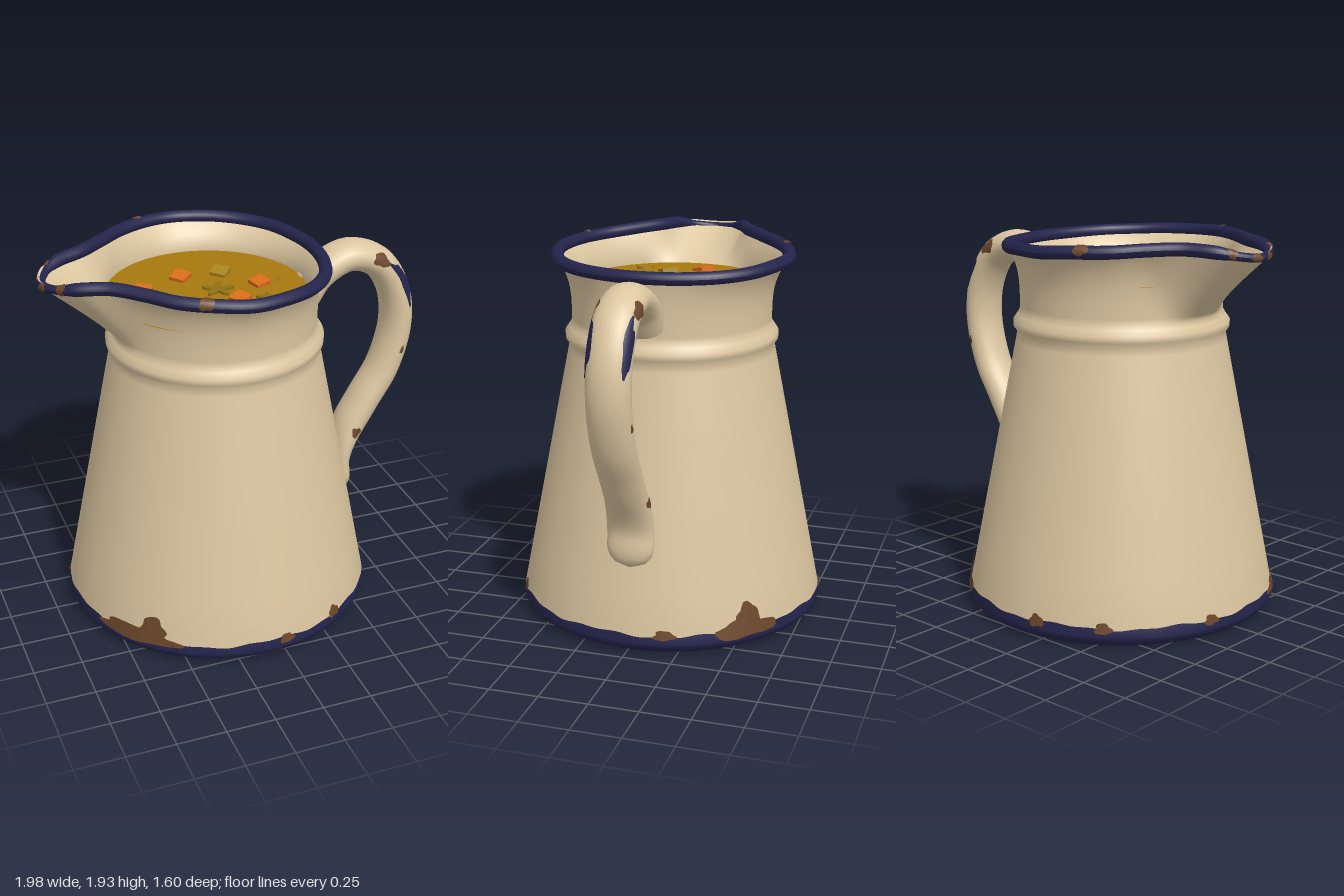
import * as THREE from 'three';

const mat = (name, color, side = THREE.FrontSide) => {
  const m = new THREE.MeshStandardMaterial({ color, side });
  m.name = name;
  return m;
};
const CX = -0.1; // axis of the body
const V = (x, y, z) => new THREE.Vector3(x, y, z);
const smooth = THREE.MathUtils.smoothstep, mix = THREE.MathUtils.lerp;

// Surface from fn(u, v); v always wraps round
function loft(nu, nv, fn) {
  const pos = [], idx = [];
  for (let i = 0; i <= nu; i++)
    for (let j = 0; j < nv; j++) pos.push(...fn(i / nu, j / nv).toArray());
  for (let i = 0; i < nu; i++)
    for (let j = 0; j < nv; j++) {
      const k = (j + 1) % nv, a = i * nv + j, b = a + nv, c = (i + 1) * nv + k, d = i * nv + k;
      idx.push(a, b, c, a, c, d);
    }
  const g = new THREE.BufferGeometry();
  g.setAttribute('position', new THREE.Float32BufferAttribute(pos, 3));
  g.setIndex(idx);
  g.computeVertexNormals();
  return g;
}

// Rim centre line: half outline, mirrored in z
const half = [
  [0.43, 1.85, 0], [0.41, 1.85, 0.17], [0.34, 1.853, 0.35], [0.22, 1.857, 0.48], [0.07, 1.865, 0.56],
  [-0.12, 1.87, 0.6], [-0.29, 1.88, 0.56], [-0.44, 1.885, 0.48], [-0.57, 1.895, 0.36], [-0.7, 1.9, 0.25],
  [-0.85, 1.89, 0.18], [-0.93, 1.87, 0.1], [-0.965, 1.86, 0],
];
const rimCurve = new THREE.CatmullRomCurve3(
  [...half, ...half.slice(1, -1).reverse().map(([x, y, z]) => [x, y, -z])].map((p) => V(...p)), true);

function rimAt(v) {
  const p = rimCurve.getPoint(v), t = rimCurve.getTangent(v);
  const angle = Math.atan2(p.z, p.x - CX);
  return {
    p, angle, out: V(t.z, 0, -t.x).normalize(),
    spout: smooth(-Math.cos(angle), 0.78, 0.97),
    tip: 1 - smooth(p.x, -0.93, -0.84),
  };
}
function rimSurface(phi, v, off = 0) {
  const { p, out, tip } = rimAt(((v % 1) + 1) % 1), r = 0.033 * (1 - 0.35 * tip) + off;
  return p.clone().addScaledVector(out, r * Math.cos(phi)).add(V(0, r * Math.sin(phi), 0));
}

// Conical body with rounded foot
const bodyR = (y) => (y > 0.06 ? 0.797 - 0.197 * (y - 0.06) : 0.797 - 0.04 * ((0.06 - y) / 0.06) ** 2);
const bodySurface = (y, a, off = 0) =>
  V(CX + (bodyR(y) + off) * Math.cos(a), y, (bodyR(y) + off) * Math.sin(a));

// Handle: swept ellipse ending in a rounded tab
const handleCurve = new THREE.CatmullRomCurve3([
  [0.38, 1.6], [0.46, 1.71], [0.62, 1.785], [0.78, 1.73], [0.88, 1.58], [0.91, 1.38], [0.85, 1.13],
  [0.74, 0.94], [0.64, 0.76], [0.6, 0.62], [0.608, 0.52], [0.62, 0.43],
].map(([x, y]) => V(x, y, 0)));
function handleSurface(u, phi, off = 0) {
  u = Math.min(Math.max(u, 0), 1);
  const c = handleCurve.getPointAt(u), t = handleCurve.getTangentAt(u);
  const cap = Math.sqrt(Math.max(0, 1 - Math.max(0, (u - 0.94) / 0.06) ** 2));
  const low = smooth(u, 0.76, 0.9);
  const a = mix(0.082, 0.056, low) * cap + off, b = mix(0.11, 0.122, low) * cap + off;
  return c.add(V(t.y * a * Math.cos(phi), -t.x * a * Math.cos(phi), b * Math.sin(phi)));
}
function handleU(x, y) {
  let best = 0, dist = 9;
  for (let i = 0; i <= 200; i++) {
    const d = handleCurve.getPointAt(i / 200).distanceTo(V(x, y, 0));
    if (d < dist) { dist = d; best = i / 200; }
  }
  return best;
}

// Ragged thin flake lying on a surface
const chip = (surface, cu, cv, ru, rv, off) => loft(5, 22, (r, w) => {
  const a = w * Math.PI * 2;
  const k = Math.max(r, 0.001) * (1 + 0.14 * Math.sin(3 * a + cu * 9) + 0.1 * Math.sin(5 * a + cv * 7));
  return surface(cu + ru * k * Math.cos(a), cv + rv * k * Math.sin(a), off);
});

export function createModel() {
  const model = new THREE.Group();
  model.name = 'enamelJug';
  const cream = mat('creamEnamel', 0xdcc6a0), blue = mat('blueEnamel', 0x24244c);
  const rust = mat('rustBrown', 0x6b462a), soup = mat('ochreSoup', 0xa87810);
  const orange = mat('carrotOrange', 0xd96c1a), pale = mat('paleVegetable', 0xa8841e);
  const herb = mat('herbOlive', 0x8f7014);
  const add = (name, geo, m, parent = model) => {
    const mesh = new THREE.Mesh(geo, m);
    mesh.name = name;
    parent.add(mesh);
    return mesh;
  };
  const group = (name) => {
    const g = new THREE.Group();
    g.name = name;
    model.add(g);
    return g;
  };

  // Outer wall: cone, raised rib, then a neck flaring into the spout
  const rows = [0.03, 0.06, 0.3, 0.7, 1.1, 1.38].map((y) => [y, bodyR(y)])
    .concat([[1.42, 0.53], [1.445, 0.549], [1.475, 0.55], [1.505, 0.529], [1.53, 0.515]]);
  const neckSteps = 14, last = rows.length - 1, total = last + neckSteps;
  add('outerWall', loft(total, 120, (u, v) => {
    const i = Math.round(u * total), { p, angle, spout } = rimAt(v);
    const [y, r] = rows[Math.min(i, last)];
    const q = V(CX + r * Math.cos(angle), y, r * Math.sin(angle));
    if (i <= last) return q;
    const t = (i - last) / neckSteps, e = t ** mix(3.4, 1.1, spout);
    return V(mix(q.x, p.x, e), mix(y, p.y - 0.015, t), mix(q.z, p.z, e));
  }), cream);

  // Inner wall and pouring lip
  add('innerWall', loft(10, 120, (t, v) => {
    const { p, angle, out, spout, tip } = rimAt(v);
    const top = p.clone().addScaledVector(out, 0.018 * tip).add(V(0, 0.026 * tip, 0));
    const e = mix(1 - (1 - t) ** 2, t, spout);
    return V(mix(top.x, -0.14 + 0.5 * Math.cos(angle), e), mix(top.y, 1.7, t),
      mix(top.z, 0.5 * Math.sin(angle), e));
  }), cream);

  add('rim', loft(12, 160, (u, v) => rimSurface(u * Math.PI * 2, v)), blue);

  // Foot band with an uneven painted edge, and underside
  const foot = [[0.72, 0], [0.755, 0.003], [0.78, 0.02], [0.795, 0.04], [0.801, 0.06]];
  add('footBand', loft(5, 140, (u, v) => {
    const i = Math.round(u * 5), a = v * Math.PI * 2;
    if (i === 5) return bodySurface(0.1 + 0.006 * Math.sin(9 * a) + 0.004 * Math.sin(23 * a), a, 0.004);
    return V(CX + foot[i][0] * Math.cos(a), foot[i][1], foot[i][0] * Math.sin(a));
  }), blue);
  const base = add('underside', new THREE.CircleGeometry(0.73, 64).rotateX(Math.PI / 2), cream);
  base.position.set(CX, 0.001, 0);

  add('handle', loft(70, 24, (u, v) => handleSurface(u, v * Math.PI * 2)), cream);

  // Rust around the foot: angle in degrees, height, half height, half width in degrees
  const footRust = group('footRust');
  [[141, 0.105, 0.04, 17], [134, 0.16, 0.06, 5], [-45, 0.105, 0.045, 13], [-46, 0.165, 0.065, 5],
    [83, 0.095, 0.025, 2.8], [60, 0.115, 0.032, 2.8], [-14, 0.105, 0.025, 4], [-100, 0.1, 0.03, 3],
    [-125, 0.1, 0.028, 3], [195, 0.1, 0.025, 3]].forEach(([a, y, h, w]) => {
    const rad = Math.PI / 180;
    add('rustPatch', chip(bodySurface, y, a * rad, h, w * rad, 0.008), rust, footRust);
  });

  // Chips on both sides of the handle and the rim
  const chips = group('enamelChips');
  for (const s of [1, -1]) {
    [[0.76, 1.765, 1.9, 0.024, 0.4, rust], [0.865, 1.61, 2.1, 0.066, 0.32, blue],
      [0.895, 1.25, 1.75, 0.012, 0.12, rust], [0.67, 0.79, 1.6, 0.016, 0.3, rust]]
      .forEach(([x, y, phi, ru, rv, m]) =>
        add('handleChip', chip(handleSurface, handleU(x, y), s * phi, ru, rv, 0.004), m, chips));
    [[6.25, 0.8, 1.2, 0.008], [10.55, 0.5, 1.3, 0.008], [11.6, 0.2, 0.9, 0.01]]
      .forEach(([k, phi, ru, rv]) =>
        add('rimChip', chip(rimSurface, phi, (s * k) / 24, ru, rv, 0.004), rust, chips));
  }

  // Soup surface with floating pieces
  const Y = 1.71;
  add('soup', new THREE.CircleGeometry(0.503, 72).rotateX(-Math.PI / 2), soup).position.set(-0.14, Y, 0);
  const bits = group('soupPieces');
  [[-0.22, -0.17, 0.7, orange], [-0.45, -0.07, 0.95, orange], [-0.03, 0.18, 0.5, orange],
    [0.13, 0.03, 0.3, orange], [-0.01, -0.16, 0.8, pale], [-0.36, 0.1, 0.65, pale]]
    .forEach(([x, z, turn, m]) => {
      const cube = add('vegetableCube', new THREE.BoxGeometry(0.082, 0.05, 0.082), m, bits);
      cube.position.set(x, Y, z);
      cube.rotation.set(0.1, turn, 0.12);
    });
  [[0.19, -0.02, 0.065], [-0.43, 0.25, 0.048]].forEach(([x, z, r]) =>
    add('vegetableSlice', new THREE.CylinderGeometry(r * 0.9, r, 0.03, 24), soup, bits).position.set(x, Y, z));
  [[-0.09, 0.03, 0.083], [0.1, 0.21, 0.058], [-0.18, 0.33, 0.05]].forEach(([x, z, r]) => {
    const pts = [];
    for (let i = 0; i < 60; i++) {
      const a = (i / 60) * Math.PI * 2, k = r * (0.68 + 0.32 * Math.cos(5 * a));
      pts.push(new THREE.Vector2(k * Math.cos(a), k * Math.sin(a)));
    }
    const leaf = new THREE.ExtrudeGeometry(new THREE.Shape(pts), { depth: 0.012, bevelEnabled: false });
    add('herbLeaf', leaf.rotateX(-Math.PI / 2), herb, bits).position.set(x, Y, z);
  });
  return model;
}
